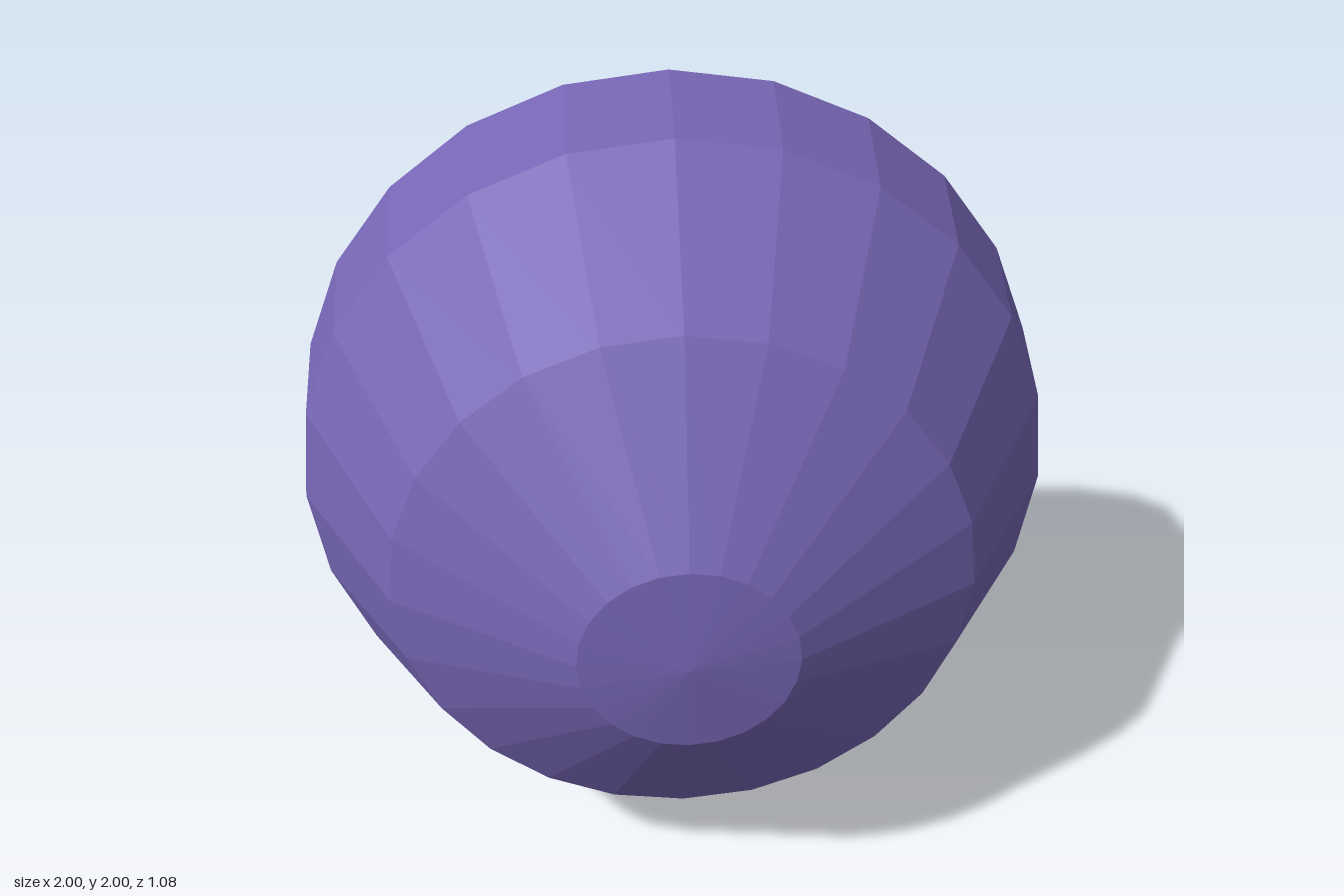
import * as THREE from 'three';

export function createModel() {
  const model = new THREE.Group();

  // Faceted open bowl: rim at the back, shallow point at the front
  const profile = [
    [1, -0.54],
    [0.966, -0.2],
    [0.707, 0.25],
    [0.259, 0.51],
    [0, 0.54],
  ].map(([radius, depth]) => new THREE.Vector2(radius, depth));

  const geometry = new THREE.LatheGeometry(profile, 24);
  geometry.rotateX(Math.PI / 2); // lathe axis points to the front

  const bowl = new THREE.Mesh(
    geometry,
    new THREE.MeshStandardMaterial({ color: 0x7766b5, flatShading: true, side: THREE.DoubleSide })
  );
  bowl.name = 'bowl';
  bowl.position.y = 1;
  model.add(bowl);

  return model;
}
